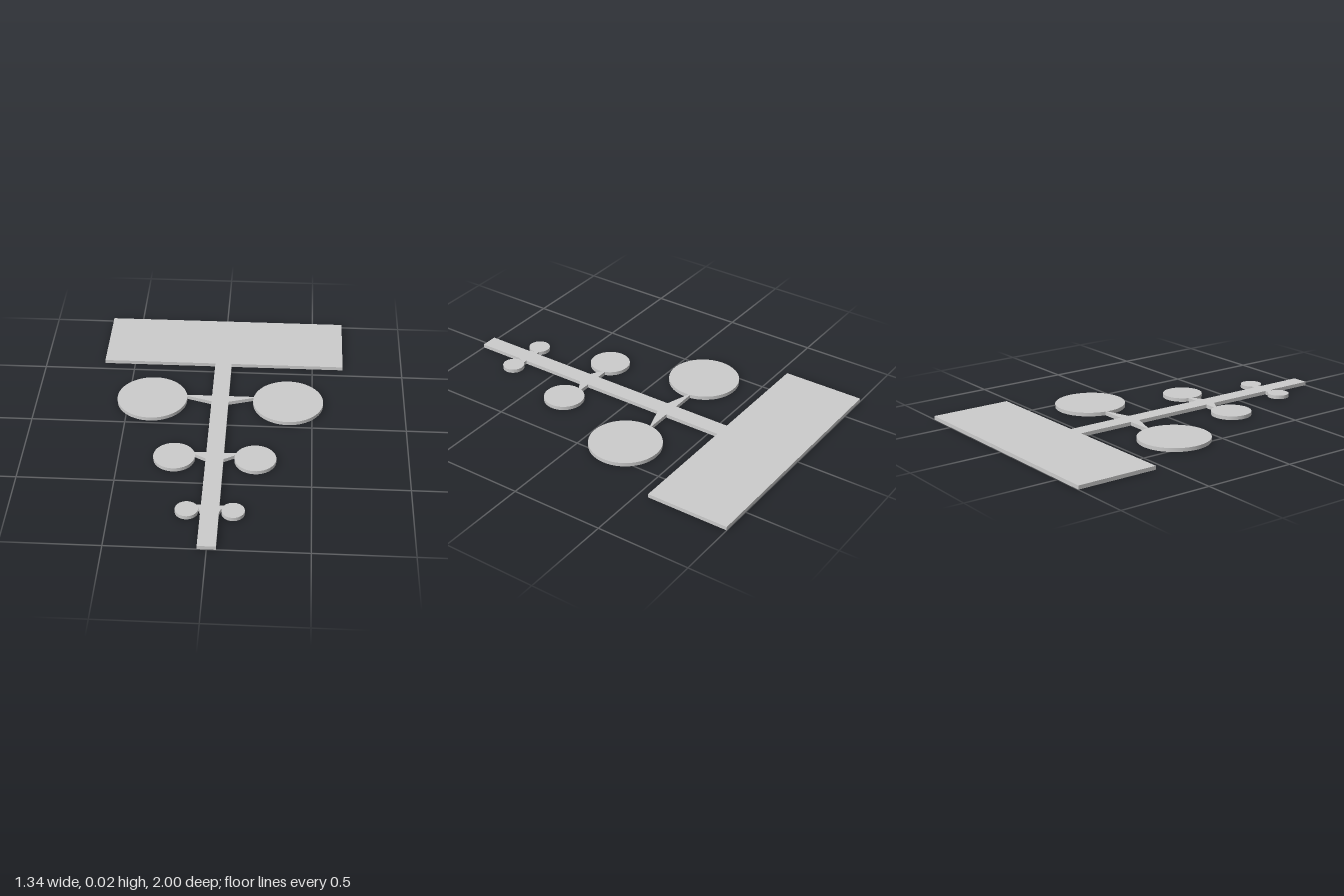
import * as THREE from 'three';
import { toCreasedNormals } from 'three/addons/utils/BufferGeometryUtils.js';

const THICKNESS = 0.02;
const STEM = 0.046;   // half width of the stem
const ARM = 0.027;    // half width of the side arms
const PLATE = { halfWidth: 0.67, back: -1, front: -0.555 };

// Mirrored disc pairs, from the tip of the stem to the plate
const DISCS = [
  { x: 0.115, z: 0.727, r: 0.058, armZ: 0.72 },
  { x: 0.21, z: 0.304, r: 0.108, armZ: 0.294 },
  { x: 0.37, z: -0.209, r: 0.19, armZ: -0.214 },
];

// Outline of the +x half as [x, z], running from the stem tip to the plate's back
function halfOutline() {
  const points = [[STEM, 1]];
  for (const { x, z, r, armZ } of DISCS) {
    const near = armZ + ARM, far = armZ - ARM;
    // angles, seen from the disc centre, where the arm's edges meet the rim
    const start = -Math.PI + Math.asin((z - near) / r);
    const end = Math.PI - Math.asin((z - far) / r);
    points.push([STEM, near]);
    const steps = 64;
    for (let i = 0; i <= steps; i++) {
      const a = start + (end - start) * i / steps;
      points.push([x + r * Math.cos(a), z - r * Math.sin(a)]);
    }
    points.push([STEM, far]);
  }
  points.push([STEM, PLATE.front], [PLATE.halfWidth, PLATE.front], [PLATE.halfWidth, PLATE.back]);
  return points;
}

export function createModel() {
  const group = new THREE.Group();
  group.name = 'flatBranchedPlate';

  // Mirror the half outline into one closed contour
  const right = halfOutline();
  const left = right.map(([x, z]) => [-x, z]).reverse();
  const shape = new THREE.Shape([...right, ...left].map(([x, z]) => new THREE.Vector2(x, -z)));

  // Extrude upwards and lay flat; rims smooth, corners sharp
  const geometry = new THREE.ExtrudeGeometry(shape, { depth: THICKNESS, bevelEnabled: false });
  geometry.rotateX(-Math.PI / 2);

  const mesh = new THREE.Mesh(
    toCreasedNormals(geometry, 0.4),
    new THREE.MeshStandardMaterial({ color: 0xcccccc })
  );
  mesh.name = 'plateWithStemAndDiscs';
  group.add(mesh);
  return group;
}
